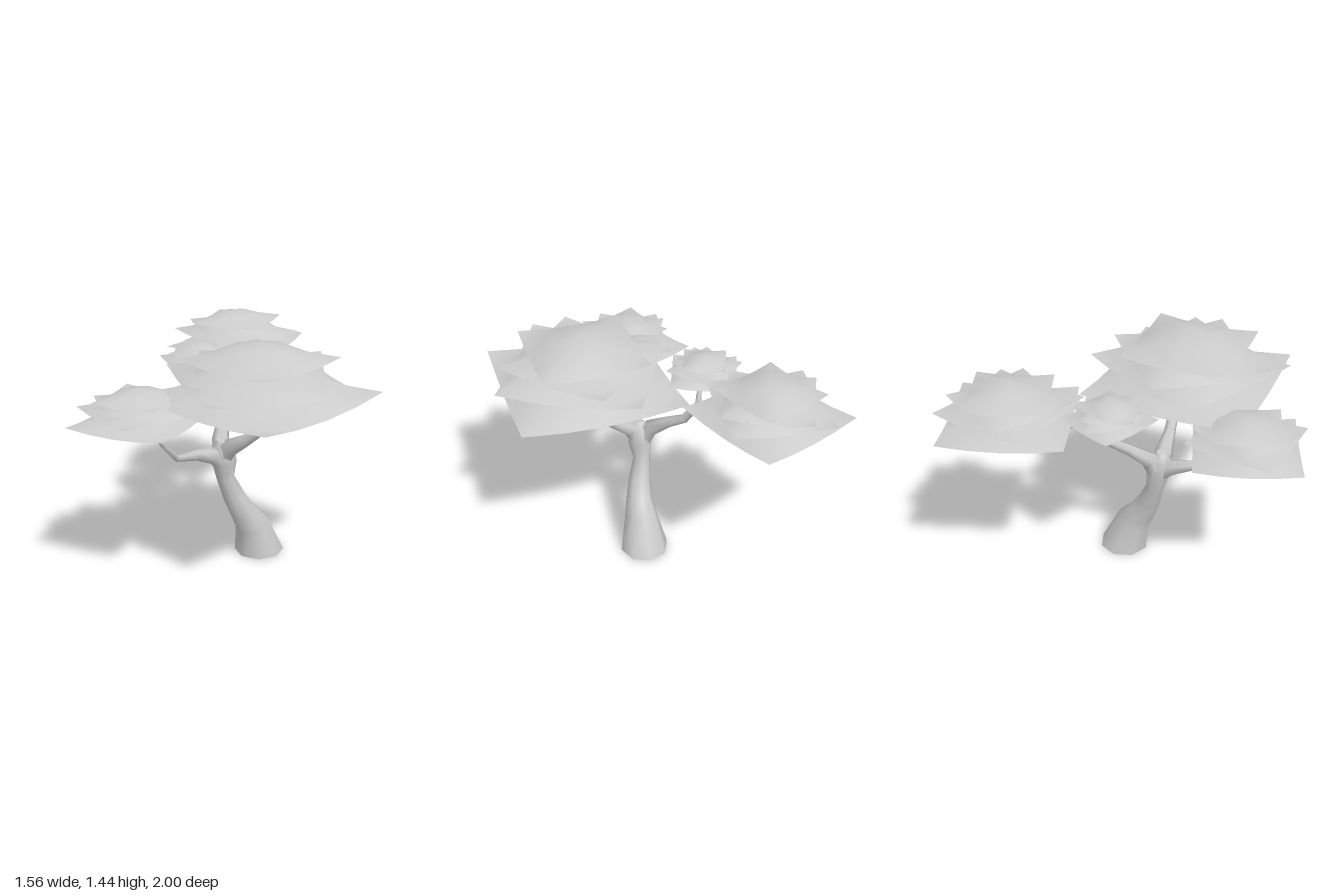
import * as THREE from 'three';

const bark = new THREE.MeshStandardMaterial({ color: 0xcccccc });
const leaf = new THREE.MeshStandardMaterial({ color: 0xcccccc, side: THREE.DoubleSide });

// Tapered limb lofted through [x, y, z, radius] stations, closed at both ends
function limb(name, stations, sides = 6, flatBase = false) {
  const pts = stations.map(([x, y, z]) => new THREE.Vector3(x, y, z));
  const pos = [], idx = [], last = pts.length - 1;
  pts.forEach((p, i) => {
    const t = pts[Math.min(i + 1, last)].clone().sub(pts[Math.max(i - 1, 0)]).normalize();
    if (flatBase && i === 0) t.set(0, 1, 0);
    const n = new THREE.Vector3(1, 0, 0).addScaledVector(t, -t.x).normalize();
    const b = t.clone().cross(n);
    for (let j = 0; j < sides; j++) {
      const a = ((j + 0.5) / sides) * Math.PI * 2;
      const v = p.clone()
        .addScaledVector(n, Math.cos(a) * stations[i][3])
        .addScaledVector(b, Math.sin(a) * stations[i][3]);
      pos.push(v.x, v.y, v.z);
      if (i < last) {
        const k = i * sides + j, m = i * sides + ((j + 1) % sides);
        idx.push(k, m, m + sides, k, m + sides, k + sides);
      }
    }
  });
  // end caps use their own vertices so the rims stay sharp
  for (const end of [0, last]) {
    const start = pos.length / 3;
    pos.push(...pos.slice(end * sides * 3, (end + 1) * sides * 3));
    for (let j = 1; j < sides - 1; j++) {
      if (end === 0) idx.push(start, start + j + 1, start + j);
      else idx.push(start, start + j, start + j + 1);
    }
  }
  const g = new THREE.BufferGeometry();
  g.setAttribute('position', new THREE.Float32BufferAttribute(pos, 3));
  g.setIndex(idx);
  g.computeVertexNormals();
  const mesh = new THREE.Mesh(g, bark);
  mesh.name = name;
  return mesh;
}

// Square leaf sheet of unit side: domed, edges drooping, corners lifting
function leafSheet() {
  const g = new THREE.PlaneGeometry(1, 1, 4, 4).rotateX(-Math.PI / 2);
  const p = g.attributes.position;
  for (let i = 0; i < p.count; i++) {
    const u = (p.getX(i) * 2) ** 2, v = (p.getZ(i) * 2) ** 2;
    p.setY(i, -0.185 * (u + v) + 0.224 * u * v);
  }
  g.computeVertexNormals();
  return g;
}

// Layers of a canopy: [relative side, turn in degrees, drop below the top]
const LAYERS = [[1, 0, 0.155], [0.86, 28, 0.08], [0.73, 48, 0.045], [0.65, 0, 0]];

function canopy(name, x, y, z, side, turn, sheet) {
  const group = new THREE.Group();
  group.name = name;
  LAYERS.forEach(([s, a, drop], i) => {
    const m = new THREE.Mesh(sheet, leaf);
    m.name = `${name}Layer${i + 1}`;
    m.position.y = -drop;
    m.scale.setScalar(s);
    m.rotation.y = -THREE.MathUtils.degToRad(a);
    group.add(m);
  });
  group.position.set(x, y, z);
  group.rotation.y = -THREE.MathUtils.degToRad(turn);
  group.scale.setScalar(side);
  return group;
}

export function createModel() {
  const tree = new THREE.Group();
  tree.name = 'tree';

  // Leaning trunk, flared at the foot and swelling at the fork
  tree.add(limb('trunk', [
    [0.01, 0, -0.03, 0.152], [-0.012, 0.2, 0.03, 0.105], [-0.045, 0.3, 0.09, 0.082],
    [-0.08, 0.4, 0.13, 0.07], [-0.125, 0.54, 0.165, 0.054], [-0.125, 0.65, 0.18, 0.074],
    [-0.13, 0.74, 0.195, 0.07], [-0.13, 0.79, 0.2, 0.03],
  ], 8, true));

  // Left branch and its twig
  tree.add(limb('leftBranch', [
    [-0.13, 0.64, 0.18, 0.05], [-0.08, 0.75, 0.21, 0.055], [0.04, 0.825, 0.24, 0.035],
    [0.2, 0.955, 0.27, 0.028], [0.28, 1.09, 0.29, 0.02], [0.34, 1.2, 0.32, 0.008],
  ]));
  tree.add(limb('leftTwig', [
    [0.22, 0.98, 0.28, 0.02], [0.13, 1.06, 0.3, 0.018], [0.01, 1.1, 0.31, 0.014],
    [-0.02, 1.14, 0.3, 0.012], [-0.025, 1.2, 0.3, 0.006],
  ]));

  // Back branch and its twig
  tree.add(limb('backBranch', [
    [-0.135, 0.64, 0.17, 0.05], [-0.17, 0.76, 0.13, 0.052], [-0.21, 0.85, 0.01, 0.034],
    [-0.24, 0.92, -0.1, 0.027], [-0.28, 1.04, -0.17, 0.024], [-0.31, 1.06, -0.3, 0.016],
    [-0.36, 1.1, -0.5, 0.014], [-0.39, 1.12, -0.59, 0.012], [-0.4, 1.18, -0.61, 0.006],
  ]));
  tree.add(limb('backTwig', [
    [-0.28, 1.02, -0.17, 0.02], [-0.3, 1.09, -0.15, 0.015], [-0.36, 1.2, -0.12, 0.007],
  ]));

  // Front branch and its twig
  tree.add(limb('frontBranch', [
    [-0.13, 0.64, 0.19, 0.05], [-0.165, 0.71, 0.26, 0.05], [-0.2, 0.75, 0.38, 0.032],
    [-0.24, 0.785, 0.55, 0.018], [-0.27, 0.88, 0.63, 0.016], [-0.29, 0.97, 0.7, 0.016],
    [-0.3, 1.02, 0.77, 0.012], [-0.31, 1.08, 0.79, 0.006],
  ]));
  tree.add(limb('frontTwig', [
    [-0.29, 0.96, 0.7, 0.014], [-0.34, 1.03, 0.69, 0.012], [-0.4, 1.1, 0.67, 0.006],
  ]));

  // Four stacked canopies
  const sheet = leafSheet();
  tree.add(canopy('mainCanopy', 0.165, 1.44, 0.34, 0.955, 20, sheet));
  tree.add(canopy('backCanopy', -0.395, 1.37, -0.615, 0.67, 0, sheet));
  tree.add(canopy('frontCanopy', -0.395, 1.21, 0.66, 0.575, 0, sheet));
  tree.add(canopy('smallCanopy', -0.4, 1.285, -0.08, 0.38, 43, sheet));
  return tree;
}
